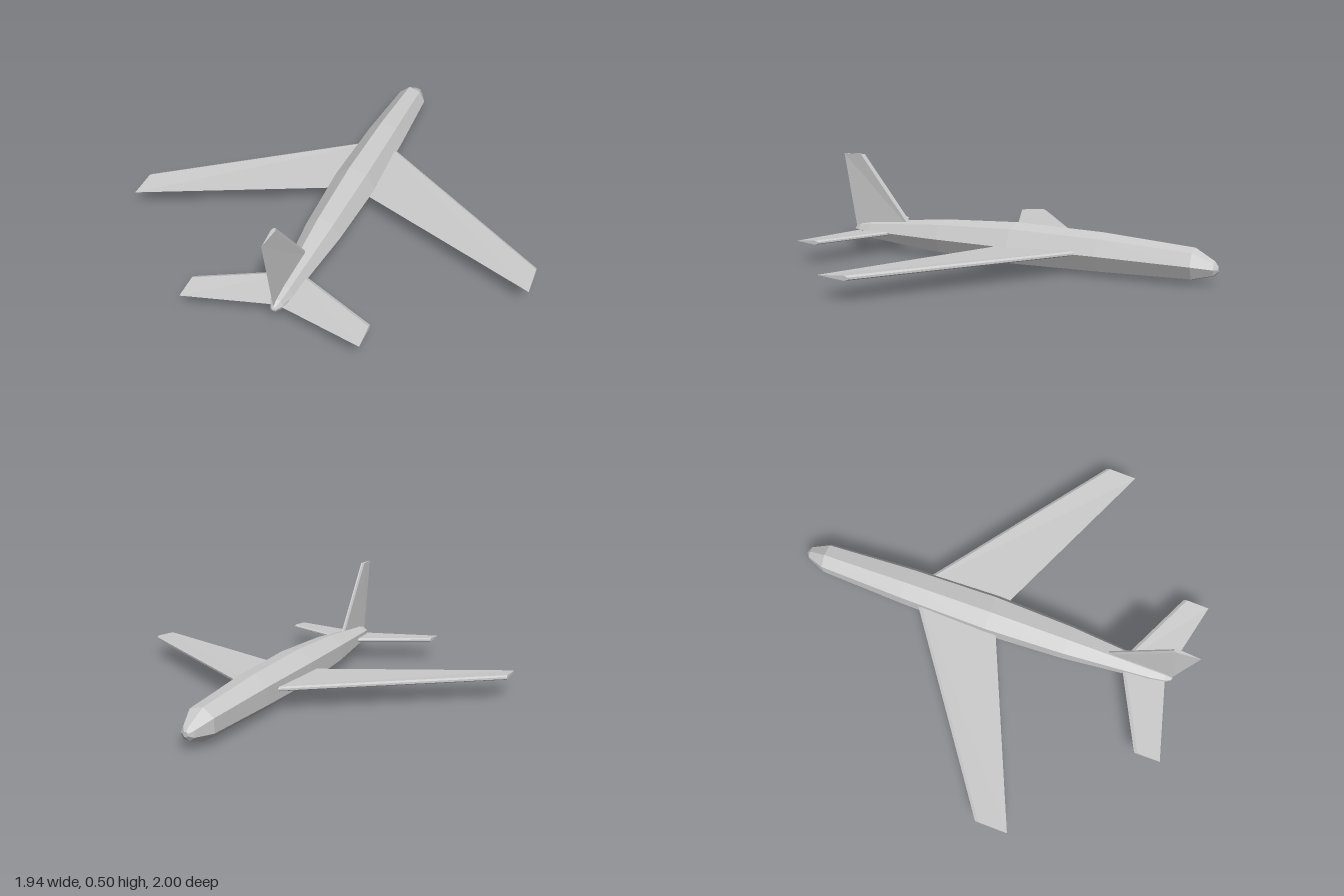
import * as THREE from 'three';

const material = new THREE.MeshStandardMaterial({ color: 0xcccccc, flatShading: true });

// Closed solid through rings of [x, y, z] points, with fan caps at both ends
function loft(name, rings) {
  const tris = [];
  const n = rings[0].length;
  for (let i = 0; i < rings.length - 1; i++) {
    for (let j = 0; j < n; j++) {
      const k = (j + 1) % n;
      const [a, b, c, d] = [rings[i][j], rings[i][k], rings[i + 1][k], rings[i + 1][j]];
      tris.push([a, b, c], [a, c, d]);
    }
  }
  const last = rings[rings.length - 1];
  for (let j = 1; j < n - 1; j++) {
    tris.push([rings[0][0], rings[0][j + 1], rings[0][j]]);
    tris.push([last[0], last[j], last[j + 1]]);
  }
  // Turn every face outwards, whichever way the rings run
  let volume = 0;
  for (const t of tris) {
    const [a, b, c] = t.map((p) => new THREE.Vector3(...p));
    volume += a.dot(b.cross(c));
  }
  if (volume < 0) tris.forEach((t) => t.reverse());
  const geometry = new THREE.BufferGeometry();
  geometry.setAttribute('position', new THREE.Float32BufferAttribute(tris.flat(2), 3));
  geometry.computeVertexNormals();
  const mesh = new THREE.Mesh(geometry, material);
  mesh.name = name;
  return mesh;
}

// Aerofoil: blunt bevelled leading edge, sharp trailing edge; place(t, z) sets the point
function section(front, back, half, place) {
  const shoulder = front + 0.016;
  return [[0.4, front], [1, shoulder], [0, back], [-1, shoulder], [-0.4, front]]
    .map(([t, z]) => place(t * half, z));
}

export function createModel() {
  const model = new THREE.Group();
  model.name = 'airliner';

  // Seven-sided fuselage, nose towards -z: [z, centre height, radius]
  const stations = [
    [-1, 0.08, 0.012], [-0.983, 0.081, 0.034], [-0.89, 0.093, 0.075],
    [-0.45, 0.104, 0.097], [0, 0.108, 0.106], [0.4, 0.11, 0.088],
    [0.83, 0.111, 0.046], [0.9, 0.111, 0.031], [0.932, 0.111, 0.014], [0.937, 0.111, 0.003],
  ];
  model.add(loft('fuselage', stations.map(([z, y, r]) =>
    Array.from({ length: 7 }, (_, i) => {
      const a = (i / 7) * Math.PI * 2;
      return [r * Math.cos(a), y + r * Math.sin(a), z];
    }))));

  // Swept wings and tailplanes, mirrored
  for (const [side, label] of [[1, 'left'], [-1, 'right']]) {
    const at = (x) => (t, z) => [side * x, 0.108 + t, z];
    model.add(loft(label + 'Wing', [
      section(-0.42, 0.016, 0.011, at(0)),
      section(0.283, 0.44, 0.011, at(0.972)),
    ]));
    model.add(loft(label + 'Tailplane', [
      section(0.675, 0.9, 0.01, at(0)),
      section(0.872, 1, 0.01, at(0.41)),
    ]));
  }

  // Tail fin
  const atHeight = (y) => (t, z) => [t, y, z];
  model.add(loft('tailFin', [
    section(0.555, 0.929, 0.009, atHeight(0.11)),
    section(0.874, 1, 0.009, atHeight(0.505)),
  ]));

  return model;
}
